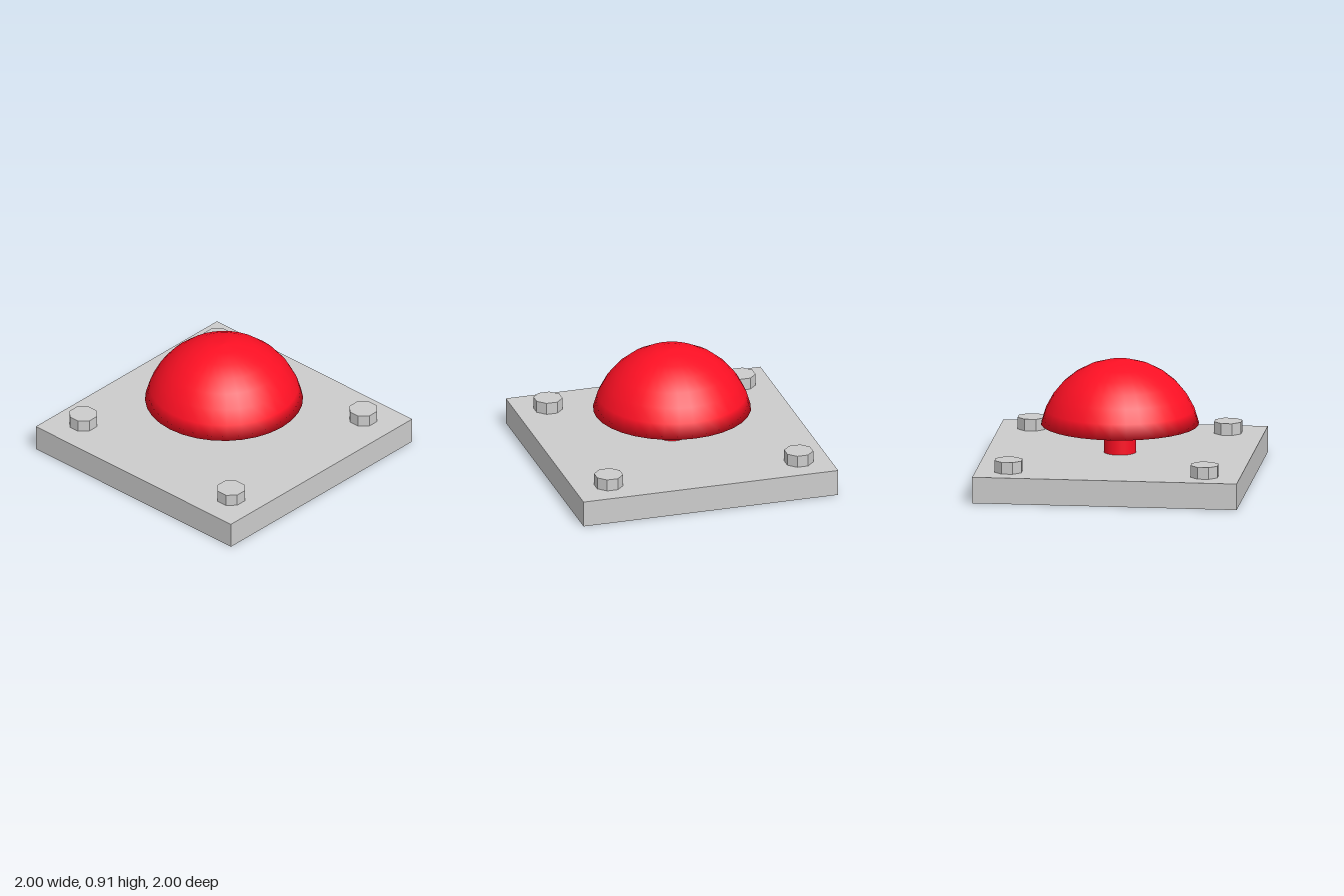
import * as THREE from 'three';

export function createModel() {
  const model = new THREE.Group();
  const grey = new THREE.MeshStandardMaterial({ color: 0xcccccc, flatShading: true });
  const red = new THREE.MeshStandardMaterial({ color: 0xff1024 });

  const add = (name, geometry, material, x, y, z) => {
    const mesh = new THREE.Mesh(geometry, material);
    mesh.name = name;
    mesh.position.set(x, y, z);
    model.add(mesh);
    return mesh;
  };

  // Square base plate
  add('basePlate', new THREE.BoxGeometry(2, 0.2, 2), grey, 0, 0.1, 0);

  // Octagonal bolt heads near the corners, slightly uneven in placement
  const boltGeometry = new THREE.CylinderGeometry(0.11, 0.11, 0.09, 8).rotateY(Math.PI / 8);
  const bolts = [[-0.765, -0.753], [0.728, -0.753], [-0.765, 0.73], [0.751, 0.73]];
  for (const [x, z] of bolts) add('bolt', boltGeometry, grey, x, 0.245, z);

  // Button stem
  add('stem', new THREE.CylinderGeometry(0.121, 0.121, 0.22, 32), red, 0, 0.31, 0);

  // Button cap: a sphere cut just above its equator, closed by a flat underside
  const radius = 0.606;
  const profile = [new THREE.Vector2(0, radius * Math.cos(7 * Math.PI / 16))];
  for (let i = 7; i >= 0; i--) {
    const a = i * Math.PI / 16;
    profile.push(new THREE.Vector2(radius * Math.sin(a), radius * Math.cos(a)));
  }
  add('domeCap', new THREE.LatheGeometry(profile, 32), red, 0, 0.301, 0);

  return model;
}
